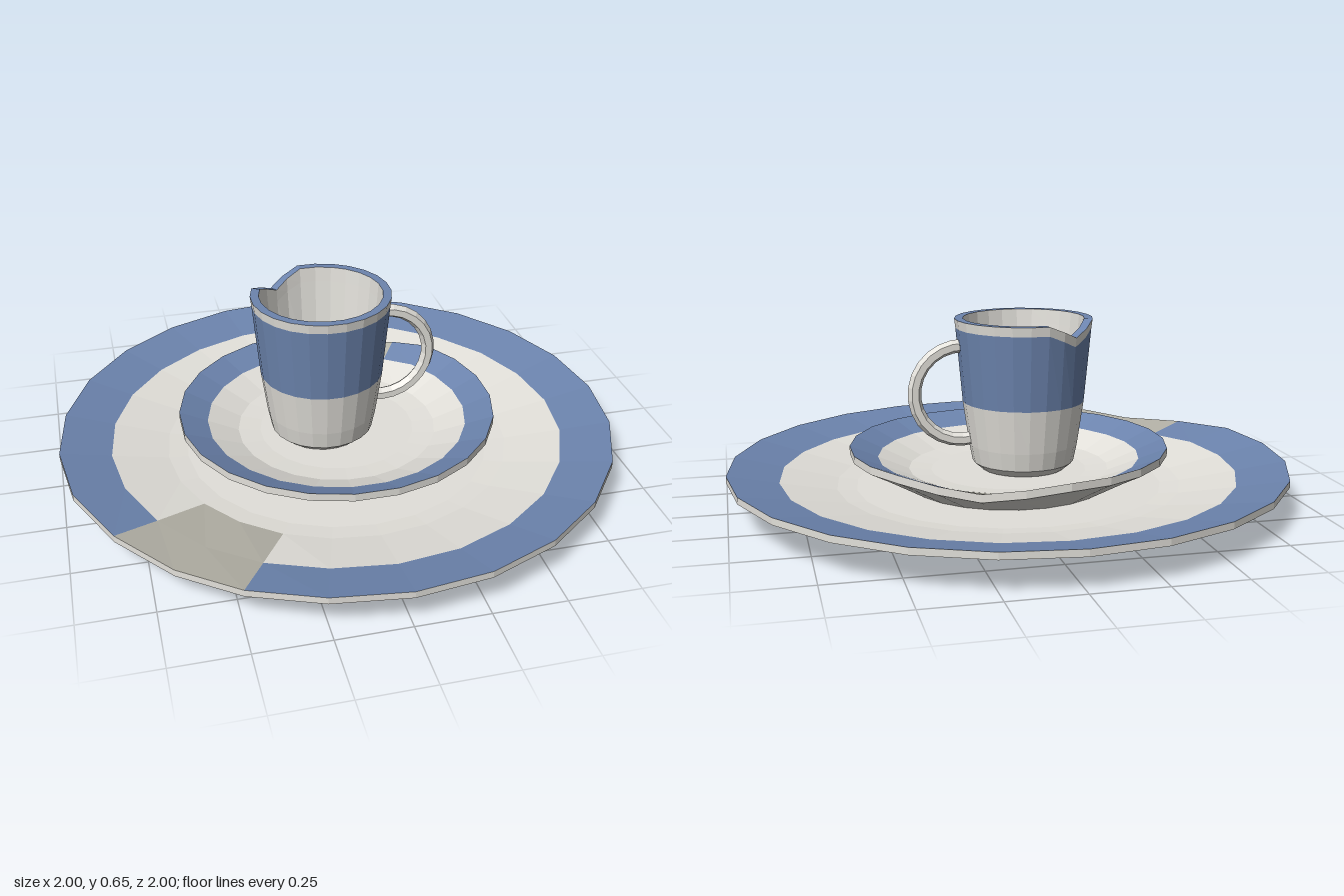
import * as THREE from 'three';

const SIDES = 24;
const STEP = (Math.PI * 2) / SIDES;
const mat = (name, color) => {
  const m = new THREE.MeshStandardMaterial({ color });
  m.name = name;
  return m;
};
const facet = (g) => {
  const f = g.toNonIndexed();
  f.computeVertexNormals();
  return f;
};

// Rim damage: one rim corner sinks and pulls in, its neighbours follow half way.
function dent(g, { phi, drop, pull, weight }) {
  const p = g.attributes.position;
  for (let i = 0; i < p.count; i++) {
    const x = p.getX(i), y = p.getY(i), z = p.getZ(i);
    const r = Math.hypot(x, z);
    if (r < 1e-4) continue;
    const d = Math.atan2(x, z) - phi;
    const away = Math.abs(Math.atan2(Math.sin(d), Math.cos(d))) / STEP;
    const w = Math.max(0, 1 - away / 2) * THREE.MathUtils.clamp(weight(r, y), 0, 1);
    const s = 1 - pull * w;
    p.setXYZ(i, x * s, y - drop * w, z * s);
  }
}

// Revolved dish made of bands; a band may have two sides in a second material.
function dish(name, bands, chip) {
  const group = new THREE.Group();
  group.name = name;
  const add = (label, pts, material, start, sides) => {
    const g = new THREE.LatheGeometry(
      pts.map(([r, y]) => new THREE.Vector2(r, y)), sides, start, sides * STEP);
    dent(g, chip);
    const mesh = new THREE.Mesh(facet(g), material);
    mesh.name = label;
    group.add(mesh);
  };
  for (const { label, pts, material, worn } of bands) {
    if (worn) {
      add(label, pts, material, chip.phi + STEP, SIDES - 2);
      add(label + 'Chip', pts, worn, chip.phi - STEP, 2);
    } else add(label, pts, material, chip.phi - STEP, SIDES);
  }
  return group;
}

export function createModel() {
  const white = mat('glazeWhite', 0xe2e0da);
  const blue = mat('glazeBlue', 0x6c84ae);
  const bare = mat('bareClay', 0xb3b1a6);
  const model = new THREE.Group();
  model.name = 'crockerySet';
  const deg = THREE.MathUtils.degToRad;

  // Large plate with a recessed foot
  model.add(dish('plate', [
    { label: 'plateUnderside', material: white,
      pts: [[0, 0.03], [0.43, 0.03], [0.44, 0], [0.56, 0], [0.8, 0.045], [1, 0.112], [1, 0.136]] },
    { label: 'plateBand', material: blue, worn: bare, pts: [[1, 0.136], [0.82, 0.1]] },
    { label: 'plateSlope', material: white, worn: bare, pts: [[0.82, 0.1], [0.62, 0.062]] },
    { label: 'plateFloor', material: white, pts: [[0.62, 0.062], [0.55, 0.055], [0, 0.055]] },
  ], { phi: deg(-45), drop: 0.038, pull: 0.035, weight: (r) => (r - 0.62) / 0.38 }));

  // Saucer resting on the plate
  model.add(dish('saucer', [
    { label: 'saucerUnderside', material: white,
      pts: [[0, 0.07], [0.3, 0.07], [0.31, 0.055], [0.36, 0.055], [0.5, 0.135], [0.57, 0.172], [0.57, 0.2]] },
    { label: 'saucerBand', material: blue, worn: bare, pts: [[0.57, 0.2], [0.47, 0.158]] },
    { label: 'saucerSlope', material: white, worn: bare, pts: [[0.47, 0.158], [0.36, 0.112]] },
    { label: 'saucerFloor', material: white, pts: [[0.36, 0.112], [0.28, 0.105], [0, 0.105]] },
  ], { phi: deg(157.5), drop: 0.036, pull: 0.045, weight: (r) => (r - 0.36) / 0.21 }));

  // Cup with a notched lip
  const cup = dish('cup', [
    { label: 'cupBase', material: white,
      pts: [[0, 0.107], [0.15, 0.107], [0.183, 0.135], [0.196, 0.2], [0.218, 0.355]] },
    { label: 'cupBand', material: blue, pts: [[0.218, 0.355], [0.242, 0.62]] },
    { label: 'cupLip', material: white, pts: [[0.242, 0.62], [0.246, 0.653]] },
    { label: 'cupRim', material: blue, pts: [[0.246, 0.653], [0.216, 0.653]] },
    { label: 'cupInside', material: white,
      pts: [[0.216, 0.653], [0.212, 0.6], [0.19, 0.34], [0.165, 0.15], [0, 0.15]] },
  ], { phi: deg(-142.5), drop: 0.05, pull: 0.05, weight: (r, y) => (y - 0.5) / 0.12 });
  cup.position.x = -0.055;
  model.add(cup);

  // Ring handle, both ends sunk into the cup wall
  const ring = new THREE.TorusGeometry(0.17, 0.024, 6, 14, deg(198));
  ring.rotateZ(deg(-105));
  const handle = new THREE.Mesh(facet(ring), white);
  handle.name = 'cupHandle';
  handle.position.set(0.17, 0.39, 0);
  model.add(handle);

  return model;
}
